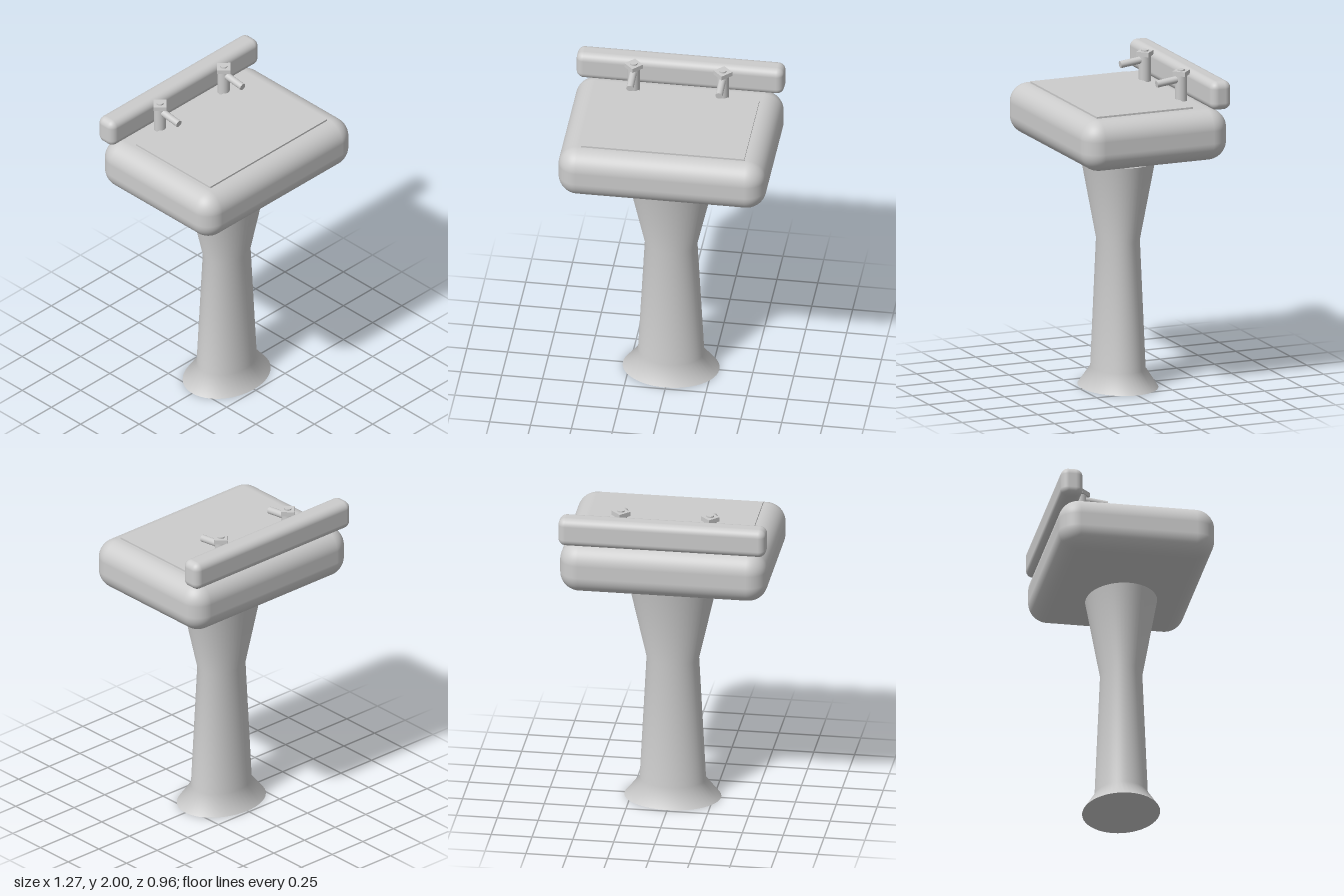
import * as THREE from 'three';
import { RoundedBoxGeometry } from 'three/addons/geometries/RoundedBoxGeometry.js';

export function createModel() {
  const model = new THREE.Group();
  model.name = 'pedestalSink';
  const ceramic = new THREE.MeshStandardMaterial({ color: 0xcccccc });
  ceramic.name = 'ceramicGrey';

  const add = (parent, name, geometry, x, y, z) => {
    const mesh = new THREE.Mesh(geometry, ceramic);
    mesh.name = name;
    mesh.position.set(x, y, z);
    parent.add(mesh);
    return mesh;
  };

  // Oval waisted pedestal with flat ends
  const pedestal = new THREE.Group();
  pedestal.name = 'pedestal';
  pedestal.scale.z = 0.795;
  model.add(pedestal);
  const profile = [[0.295, 0], [0.202, 0.115], [0.16, 0.915], [0.272, 1.412]]
    .map(([r, y]) => new THREE.Vector2(r, y));
  add(pedestal, 'pedestalColumn', new THREE.LatheGeometry(profile, 48), 0, 0, 0);
  add(pedestal, 'pedestalBase', new THREE.CircleGeometry(0.295, 48), 0, 0, 0).rotation.x = Math.PI / 2;
  add(pedestal, 'pedestalTop', new THREE.CircleGeometry(0.272, 48), 0, 1.412, 0).rotation.x = -Math.PI / 2;

  // Rounded basin, raised panel on top and splashback behind
  add(model, 'basin', new RoundedBoxGeometry(1.27, 0.318, 0.955, 8, 0.12), 0, 1.646, 0);
  add(model, 'basinPanel', new THREE.BoxGeometry(1.0, 0.03, 0.635), 0, 1.801, 0.042);
  add(model, 'splashback', new RoundedBoxGeometry(1.27, 0.178, 0.134, 6, 0.045), 0, 1.898, -0.412);

  // Pair of taps
  for (const side of [-1, 1]) {
    const tap = new THREE.Group();
    tap.name = side > 0 ? 'leftTap' : 'rightTap';
    tap.position.set(side * 0.273, 0, -0.298);
    model.add(tap);
    add(tap, 'tapBody', new THREE.CylinderGeometry(0.037, 0.037, 0.165, 24), 0, 1.8825, 0);
    // Square handle turned to a diamond
    const handle = new THREE.CylinderGeometry(0.057, 0.057, 0.028, 4).toNonIndexed();
    handle.computeVertexNormals();
    add(tap, 'tapHandle', handle, 0, 1.977, 0);
    add(tap, 'tapButton', new THREE.CylinderGeometry(0.022, 0.022, 0.02, 20), 0, 1.99, 0);
    // Spout dips slightly towards the front
    const spout = add(tap, 'tapSpout', new THREE.CylinderGeometry(0.022, 0.022, 0.16, 20), 0, 1.931, 0.083);
    spout.rotation.x = Math.PI / 2 + 0.12;
  }
  return model;
}
